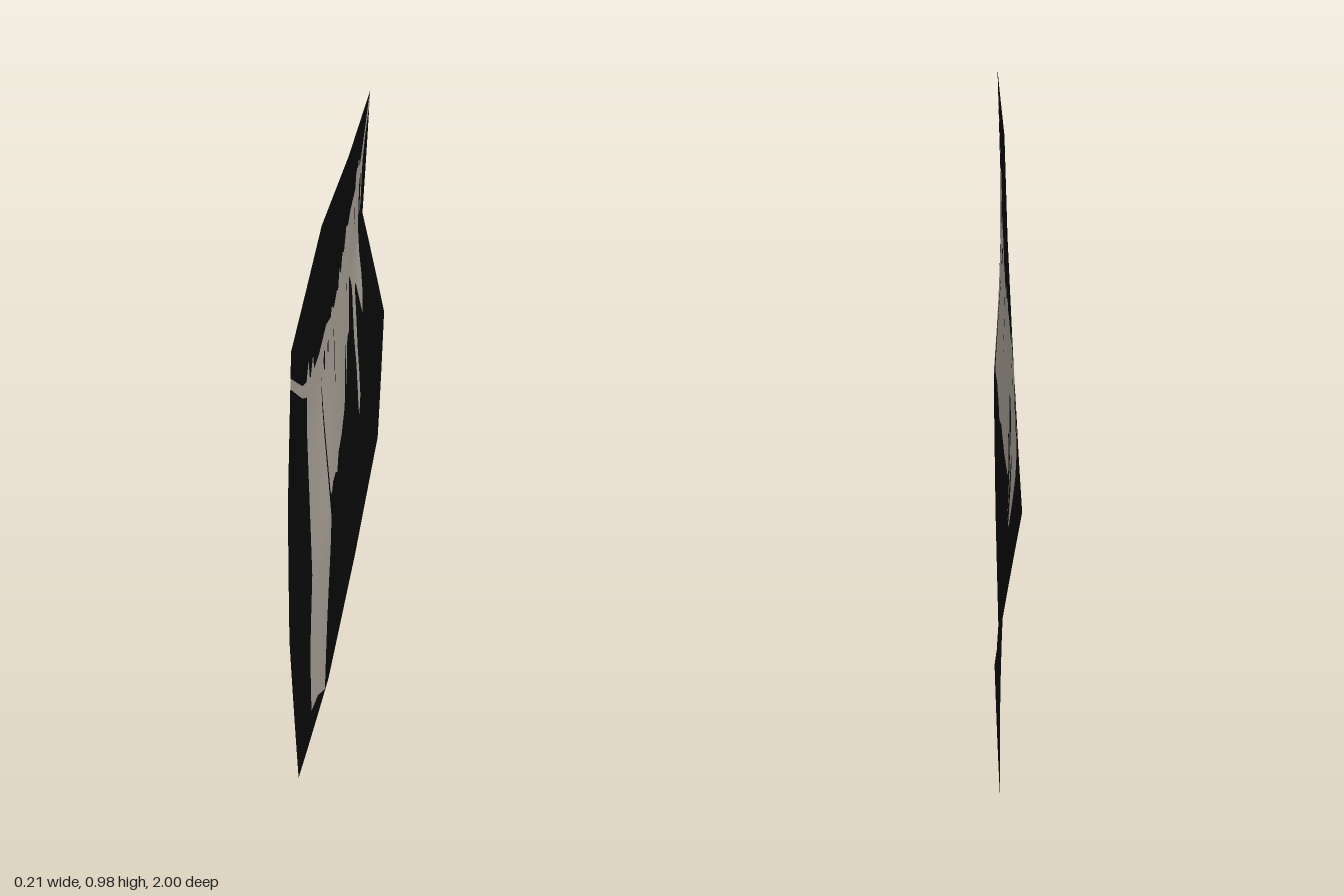
import * as THREE from 'three';
import { mergeVertices } from 'three/addons/utils/BufferGeometryUtils.js';

const black = new THREE.MeshStandardMaterial({ color: 0x0c0c0c, side: THREE.DoubleSide });
black.name = 'black';
const beige = new THREE.MeshStandardMaterial({ color: 0xc0b8ac, side: THREE.DoubleSide });
beige.name = 'beige';

// Flat patterns are drawn as z, y pairs in hundredths of a unit
const points = (list) => {
  const out = [];
  for (let i = 0; i < list.length; i += 2) out.push(new THREE.Vector2(list[i] / 100, list[i + 1] / 100));
  return out;
};

// Sheet outline, front to back
const topEdge = points([100, 94, 33, 97.8, -30, 96, -95, 96]);
const bottomEdge = points([100, 65, 98.5, 37, 95, 7, 42, 2, -28, 0, -94, 4.5, -100, 37, -93, 65]);

// Ragged upper edge of the pale area, front to back
const paleTop = points([
  100, 89, 76, 79, 68, 77, 64, 80, 62, 76, 60, 75, 55, 78, 53, 74.5, 43, 74, 27, 75, 16, 73,
  13, 74.5, 8, 72.5, 0, 74, -3, 73, -7, 77, -10, 74.5, -15, 78, -19, 77, -23, 79.5, -25, 81,
  -30, 80, -38, 81.5, -53, 82, -55, 85, -58, 86, -61, 85, -63.5, 87, -67, 84, -74, 86,
  -84, 90.5, -91.5, 95, -95, 96,
]);

// Lower edge: cord, long strip, broad panel, hanging tatters, cord
const paleBottom = points([
  100, 87, 76, 76.5, 67, 73.5, 67, 59, 68, 37, 73, 22, 73, 10, 62, 8, 49, 3, 45, 17, 38, 37,
  40, 56, 39.5, 69, 39, 67, 38, 54, 36, 42, 33, 40, 27, 40.5, 18, 39, 13, 37, 6, 39, -7, 38,
  -21, 39, -24, 41.5, -24, 50, -26, 53, -27.5, 50, -27.5, 42.5, -30, 42, -31, 53, -35, 53,
  -36, 66, -42, 63, -45, 60, -46, 48, -48.5, 40, -49, 29, -50, 27, -53, 31, -52, 43, -53, 58,
  -55.5, 58.5, -60, 54, -65, 48, -69, 51, -71, 56, -71.5, 67, -69, 72.5, -68, 79, -71, 81.5,
  -73, 80.5, -74, 72.5, -76, 70, -78, 72.5, -77.5, 79, -79, 83, -85, 87.5, -94.5, 92,
]);

// Small holes and slits: centre z, y, half width, half height
const holes = [
  [0.32, 0.69, 0.018, 0.022],
  [0.23, 0.69, 0.014, 0.014],
  [0.085, 0.62, 0.006, 0.07],
  [-0.535, 0.755, 0.011, 0.026],
  [-0.265, 0.665, 0.01, 0.01],
].map(([z, y, w, h]) => new THREE.EllipseCurve(z, y, w, h).getPoints(8).slice(0, 8));

// Gentle warp of the sheet: height, then z, x pairs from back to front
const rows = [
  [0.03, [[-0.94, -0.07], [-0.28, -0.01], [0.42, 0.06], [0.95, 0.105]]],
  [0.37, [[-1, -0.065], [-0.3, -0.035], [0.4, 0.062], [0.985, 0.095]]],
  [0.65, [[-0.93, -0.11], [-0.32, -0.035], [0.33, 0.035], [1, 0.097]]],
  [0.96, [[-0.95, -0.095], [-0.3, -0.03], [0.33, 0.03], [1, 0.105]]],
];
function rowX(row, z) {
  const p = row[1];
  const i = z < p[1][0] ? 0 : z < p[2][0] ? 1 : 2;
  const t = THREE.MathUtils.clamp((z - p[i][0]) / (p[i + 1][0] - p[i][0]), 0, 1);
  return THREE.MathUtils.lerp(p[i][1], p[i + 1][1], t);
}
function sheetX(z, y) {
  const i = y < 0.37 ? 0 : y < 0.65 ? 1 : 2;
  const t = THREE.MathUtils.clamp((y - rows[i][0]) / (rows[i + 1][0] - rows[i][0]), 0, 1);
  return THREE.MathUtils.lerp(rowX(rows[i], z), rowX(rows[i + 1], z), t);
}

// Halve the longest edge until each triangle is small enough to follow the warp
function split(a, b, c, out) {
  const ab = a.distanceTo(b), bc = b.distanceTo(c), ca = c.distanceTo(a);
  const longest = Math.max(ab, bc, ca);
  if (longest < 0.08) {
    for (const p of [a, b, c]) out.push(sheetX(p.x, p.y), p.y, p.x);
    return;
  }
  if (bc === longest) [a, b, c] = [b, c, a];
  else if (ca === longest) [a, b, c] = [c, a, b];
  const m = a.clone().add(b).multiplyScalar(0.5);
  split(a, m, c, out);
  split(m, b, c, out);
}

function warpedPiece(name, outline, material, cuts = []) {
  const shape = new THREE.Shape(outline);
  shape.holes = cuts.map((cut) => new THREE.Path(cut));
  const flat = new THREE.ShapeGeometry(shape).toNonIndexed().attributes.position;
  const out = [];
  for (let i = 0; i < flat.count; i += 3) {
    const [a, b, c] = [0, 1, 2].map((k) => new THREE.Vector2(flat.getX(i + k), flat.getY(i + k)));
    split(a, b, c, out);
  }
  let geometry = new THREE.BufferGeometry();
  geometry.setAttribute('position', new THREE.Float32BufferAttribute(out, 3));
  geometry = mergeVertices(geometry, 1e-5);
  geometry.computeVertexNormals();
  const mesh = new THREE.Mesh(geometry, material);
  mesh.name = name;
  return mesh;
}

export function createModel() {
  const group = new THREE.Group();
  group.name = 'tatteredSheet';
  const reversed = (list) => [...list].reverse();
  group.add(
    warpedPiece('upperBackdrop', [...topEdge.slice(0, -1), ...reversed(paleTop)], black),
    warpedPiece('paleCloth', [...paleTop, ...reversed(paleBottom)], beige, holes),
    warpedPiece('lowerBackdrop', [...paleBottom, ...reversed(bottomEdge)], black),
  );
  holes.forEach((hole, i) => group.add(warpedPiece(`clothHole${i + 1}`, hole, black)));
  return group;
}
